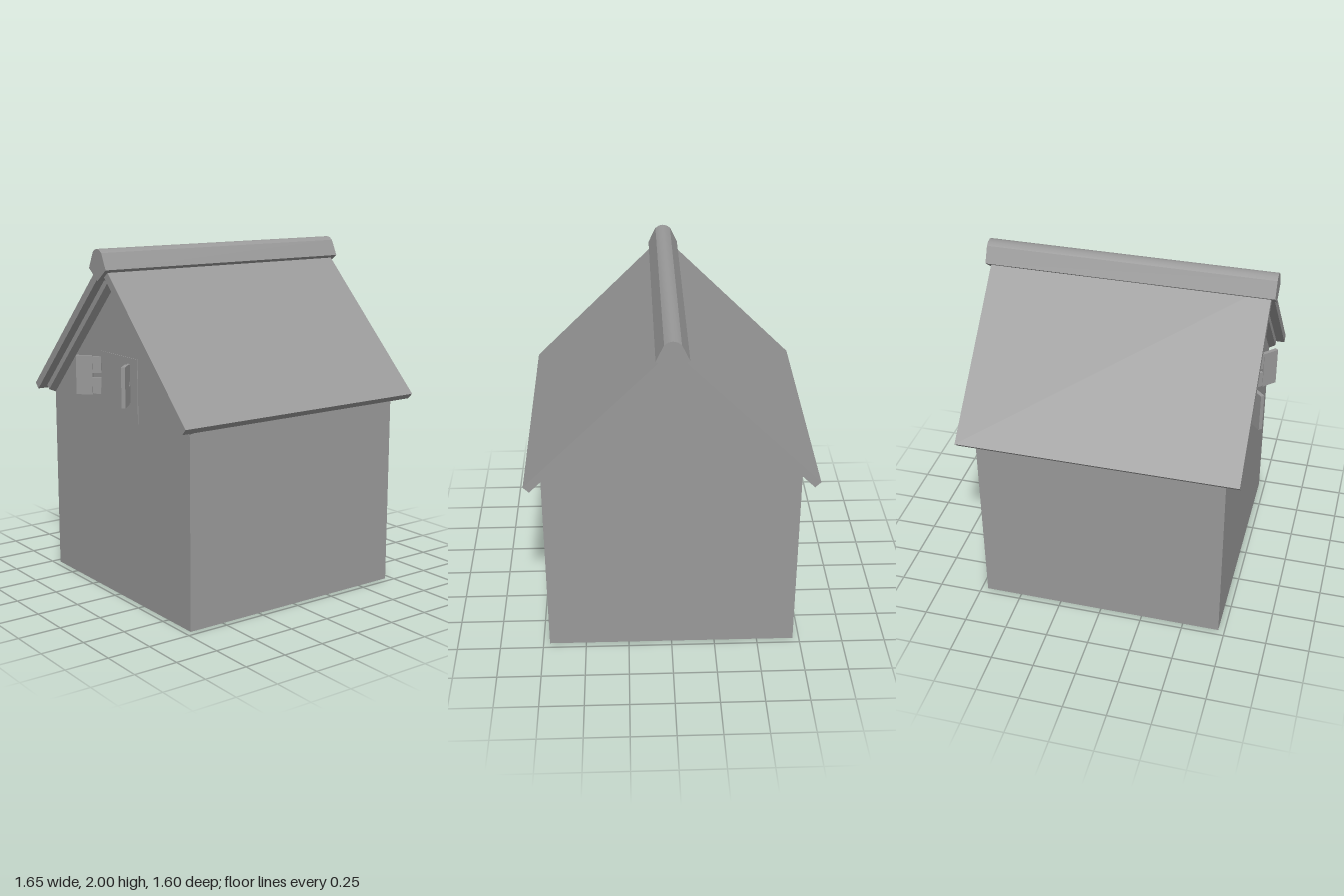
import * as THREE from 'three';
import { toCreasedNormals } from 'three/addons/utils/BufferGeometryUtils.js';

const material = new THREE.MeshStandardMaterial({ color: 0x999999 });
const thinMaterial = new THREE.MeshStandardMaterial({ color: 0x999999, side: THREE.DoubleSide });

const WALL = 0.713;  // half width of the square body
const UNDER = 1.875; // height where the two roof undersides meet

// Only the gentle bends stay smooth; every other edge is sharp
function add(parent, name, geometry, mat = material) {
  const mesh = new THREE.Mesh(toCreasedNormals(geometry, 0.45), mat);
  mesh.name = name;
  parent.add(mesh);
  return mesh;
}

function shapeOf(points) {
  return new THREE.Shape(points.map(([a, b]) => new THREE.Vector2(a, b)));
}

// Extrudes a (z, y) outline along x, centred on x = 0
function prism(points, length) {
  const g = new THREE.ExtrudeGeometry(shapeOf(points), { depth: length, bevelEnabled: false });
  g.translate(0, 0, -length / 2);
  return g.rotateY(-Math.PI / 2);
}

export function createModel() {
  const house = new THREE.Group();
  house.name = 'house';

  // Thin walls, open underneath
  const walls = new THREE.Group();
  walls.name = 'walls';
  house.add(walls);
  const eave = UNDER - WALL;
  const gable = shapeOf([[-WALL, 0], [WALL, 0], [WALL, eave], [0, UNDER], [-WALL, eave]]);
  for (const s of [-1, 1]) {
    const end = add(walls, 'gableWall', new THREE.ShapeGeometry(gable), thinMaterial);
    end.rotation.y = s * Math.PI / 2;
    end.position.x = s * WALL;
    const side = add(walls, 'sideWall', new THREE.PlaneGeometry(2 * WALL, eave), thinMaterial);
    side.rotation.y = s > 0 ? 0 : Math.PI;
    side.position.set(0, eave / 2, s * WALL);
  }

  // Roof slabs at 45 degrees
  for (const s of [-1, 1]) {
    const outline = [[0, UNDER], [0.77, UNDER - 0.77], [0.802, 1.137], [0, 1.939]];
    add(house, 'roofSlab', prism(outline.map(([z, y]) => [s * z, y]), 1.6));
  }

  // Ridge cap with a softly rounded top
  add(house, 'ridgeCap', prism([
    [0, 1.825], [0.088, 1.89], [0.045, 1.98], [0.024, 1.995],
    [0, 2], [-0.024, 1.995], [-0.045, 1.98], [-0.088, 1.89],
  ], 1.65));

  // Six-sided rafters half sunk into the roof along one gable
  const reach = 0.745;
  for (const s of [-1, 1]) {
    const rafter = add(house, 'rafter', new THREE.CylinderGeometry(0.048, 0.048, reach * Math.SQRT2, 6));
    rafter.rotation.x = -s * Math.PI / 4;
    rafter.position.set(-0.708, UNDER - 0.012 - reach / 2, s * reach / 2);
  }

  // Flush hatch with two small leaves standing open
  const hatch = new THREE.Group();
  hatch.name = 'hatch';
  house.add(hatch);
  add(hatch, 'hatchPanel', new THREE.BoxGeometry(0.01, 0.36, 0.38)).position.set(-0.712, 1.23, 0.03);
  for (const s of [-1, 1]) {
    const leaf = add(hatch, 'hatchLeaf', new THREE.BoxGeometry(0.095, 0.225, 0.022));
    leaf.rotation.y = s * Math.PI / 4;
    leaf.position.set(-0.784, 1.268, -0.015 + s * 0.218);
    for (const y of [1.208, 1.328]) {
      const hinge = add(hatch, 'hinge', new THREE.BoxGeometry(0.06, 0.095, 0.016));
      hinge.rotation.y = s * Math.PI / 4;
      hinge.position.set(-0.735, y, -0.015 + s * 0.169);
    }
  }
  return house;
}
